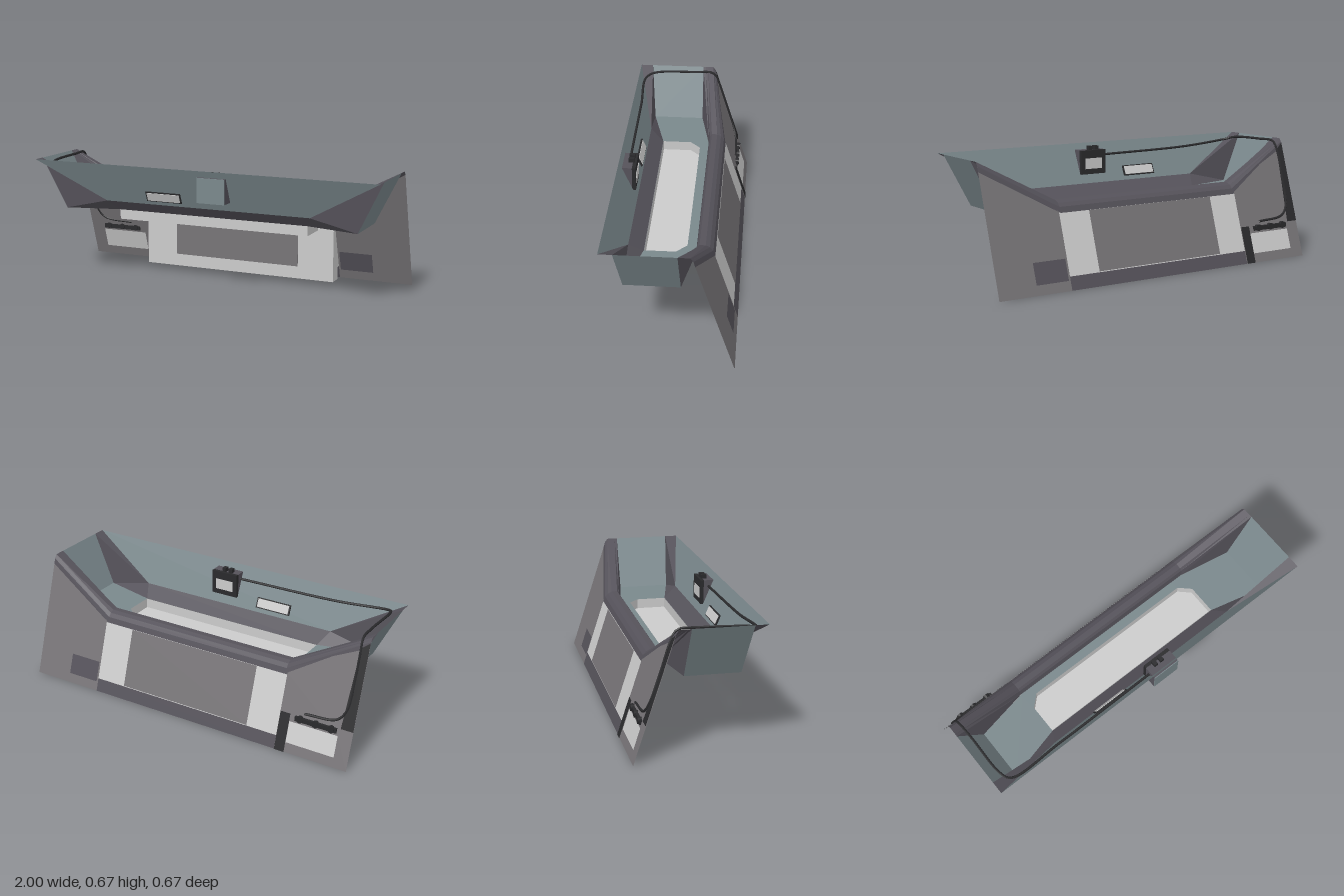
import * as THREE from 'three';
import { mergeVertices } from 'three/addons/utils/BufferGeometryUtils.js';

const paint = (color) => new THREE.MeshStandardMaterial({ color, side: THREE.DoubleSide, flatShading: true });
const light = paint(0xcccccc), slate = paint(0x7a888c), grey = paint(0x777477);
const dark = paint(0x55525a), black = paint(0x2a2a2c);

// Depth of the sloping rear face at height y
const rearZ = (y) => -0.118 - 0.324 * (0.67 - y);
const wallTilt = Math.atan2(0.095, 0.22);

export function createModel() {
  const model = new THREE.Group();

  const add = (name, geometry, material, x = 0, y = 0, z = 0) => {
    const mesh = new THREE.Mesh(geometry, material);
    mesh.name = name;
    mesh.position.set(x, y, z);
    model.add(mesh);
    return mesh;
  };

  // Skin stretched over rows of equally many points
  const loft = (name, rows, material) => {
    const pos = [];
    for (let r = 0; r < rows.length - 1; r++) {
      for (let i = 0; i < rows[r].length - 1; i++) {
        const a = rows[r][i], b = rows[r][i + 1], c = rows[r + 1][i + 1], d = rows[r + 1][i];
        pos.push(...a, ...d, ...b, ...b, ...d, ...c);
      }
    }
    const g = new THREE.BufferGeometry();
    g.setAttribute('position', new THREE.Float32BufferAttribute(pos, 3));
    g.computeVertexNormals();
    return add(name, g, material);
  };

  // Flat outline laid on the sloping rear face
  const onRear = (name, outline, material, offset = 0, hole = null) => {
    const toV = (p) => new THREE.Vector2(p[0], p[1]);
    const shape = new THREE.Shape(outline.map(toV));
    if (hole) shape.holes.push(new THREE.Path(hole.map(toV)));
    const g = mergeVertices(new THREE.ShapeGeometry(shape));
    const p = g.attributes.position;
    for (let i = 0; i < p.count; i++) p.setZ(i, rearZ(p.getY(i)) + offset);
    g.computeVertexNormals();
    return add(name, g, material);
  };
  const rect = (x0, x1, y0, y1) => [[x0, y0], [x1, y0], [x1, y1], [x0, y1]];

  // Front wall and the band under it
  loft('frontWall', [
    [[-1, 0.67, 0.33], [1, 0.67, 0.33]],
    [[-0.6, 0.45, 0.235], [0.6, 0.45, 0.235]],
  ], slate);
  loft('frontLowerBand', [
    [[-0.6, 0.45, 0.235], [0.6, 0.45, 0.235]],
    [[-0.56, 0.39, 0.16], [0.56, 0.39, 0.16]],
  ], dark);

  // Sides of the tub
  for (const s of [1, -1]) {
    loft('sideWall', [
      [[s, 0.67, 0.26], [s, 0.67, -0.05]],
      [[s * 0.86, 0.39, 0.235], [s * 0.86, 0.39, -0.055]],
    ], slate);
    loft('frontCorner', [
      [[s, 0.67, 0.33], [s, 0.67, 0.26]],
      [[s * 0.6, 0.45, 0.235], [s * 0.86, 0.39, 0.235]],
      [[s * 0.56, 0.39, 0.16], [s * 0.86, 0.39, 0.235]],
    ], dark);
    loft('sideFloor', [
      [[s * 0.56, 0.39, 0.16], [s * 0.86, 0.39, 0.235]],
      [[s * 0.56, 0.39, -0.11], [s * 0.86, 0.39, -0.055]],
    ], slate);
    loft('rearCorner', [
      [[s * 0.57, 0.39, -0.11], [s * 0.86, 0.39, -0.055]],
      [[s, 0.67, -0.05], [s, 0.67, -0.05]],
    ], dark);
  }

  // Rounded sill along the rear, rising to both ends
  const middle = [[0.39, -0.11], [0.43, -0.117], [0.445, -0.128], [0.445, -0.16], [0.434, -0.182], [0.415, -0.2], [0.385, rearZ(0.385)]];
  const end = [[0.67, -0.05], [0.67, -0.065], [0.67, -0.08], [0.67, -0.11], [0.66, -0.118], [0.65, -0.126], [0.62, rearZ(0.62)]];
  const station = (x, pts) => pts.map(([y, z]) => [x, y, z]);
  loft('rearSill', [station(-1, end), station(-0.57, middle), station(0.57, middle), station(1, end)], dark);

  // Sunken tray with two cut corners
  const ring = (y) => [[-0.56, 0.157], [0.56, 0.157], [0.56, -0.005], [0.5, -0.062], [-0.5, -0.062], [-0.56, -0.005], [-0.56, 0.157]]
    .map(([x, z]) => [x, y, z]);
  loft('tray', [ring(0.39), ring(0.335), ring(0.335).map(() => [0, 0.335, 0.05])], light);
  loft('floorBehindTray', [
    [[-0.56, 0.39, -0.005], [-0.5, 0.39, -0.062], [0.5, 0.39, -0.062], [0.56, 0.39, -0.005]],
    [[-0.57, 0.39, -0.11], [-0.5, 0.39, -0.11], [0.5, 0.39, -0.11], [0.57, 0.39, -0.11]],
  ], slate);

  // Wedge-shaped base; the profile is drawn in (-z, y) and turned to run along x
  const profile = [[0.21, 0], [0.29, 0], [0.29, 0.07], [-rearZ(0.07), 0.07], [-rearZ(0.385), 0.385], [0.21, 0.34]];
  const base = new THREE.ExtrudeGeometry(new THREE.Shape(profile.map((p) => new THREE.Vector2(...p))), { depth: 1.16, bevelEnabled: false });
  base.rotateY(Math.PI / 2).translate(-0.58, 0, 0);
  add('base', base, light);
  add('baseFrontPanel', new THREE.BoxGeometry(0.76, 0.27, 0.004), grey, -0.01, 0.205, -0.21);
  onRear('baseRearPanel', rect(-0.4, 0.4, 0.075, 0.385), grey, -0.003);
  onRear('rearFootPanel', rect(-0.58, 0.58, 0, 0.07), dark);

  // Rear wings in the sloping face, each with an inset panel
  const wing = (s, x0, x1, panelMaterial) => {
    const inset = rect(s * x0, s * x1, 0.05, 0.16);
    onRear('rearWing', [[s * 0.58, 0], [s, 0], [s, 0.65], [s * 0.58, 0.395]], grey, 0, inset);
    onRear('wingPanel', inset, panelMaterial);
  };
  wing(1, 0.59, 0.78, dark);
  wing(-1, 0.64, 0.92, light);
  onRear('wingInnerTrim', rect(-0.64, -0.582, 0, 0.2), black, -0.003);
  onRear('wingOuterTrim', [[-1, 0.2], [-0.93, 0.2], [-0.955, 0.61], [-1, 0.645]], black, -0.003);

  // Cable from the rear controls, over the rim and along the front wall
  const path = [[-0.72, 0.22, -0.268], [-0.9, 0.24, -0.26], [-0.945, 0.3, -0.241], [-0.955, 0.45, -0.192], [-0.955, 0.6, -0.144],
    [-0.95, 0.655, -0.112], [-0.945, 0.66, 0], [-0.94, 0.65, 0.24], [-0.91, 0.635, 0.29], [-0.6, 0.61, 0.292], [0, 0.6, 0.288]];
  const curve = new THREE.CatmullRomCurve3(path.map((p) => new THREE.Vector3(...p)), false, 'centripetal');
  add('cable', new THREE.TubeGeometry(curve, 90, 0.007, 6), black);

  // Hand controls over the wing panel
  add('controlBar', new THREE.BoxGeometry(0.24, 0.025, 0.02), black, -0.79, 0.185, -0.276);
  for (const x of [-0.88, -0.79, -0.7]) {
    add('controlKnob', new THREE.CylinderGeometry(0.016, 0.02, 0.03, 10).rotateX(Math.PI / 2), black, x, 0.188, -0.276);
  }

  // Display unit through the front wall
  add('displayHousing', new THREE.BoxGeometry(0.16, 0.135, 0.071), dark, 0.08, 0.5675, 0.2955);
  add('displayFrontPlate', new THREE.BoxGeometry(0.16, 0.135, 0.004), slate, 0.08, 0.5675, 0.333);
  add('displayFrame', new THREE.BoxGeometry(0.16, 0.135, 0.02), black, 0.08, 0.5675, 0.252);
  add('displayScreen', new THREE.BoxGeometry(0.11, 0.06, 0.004), light, 0.08, 0.56, 0.241);
  for (const x of [0.05, 0.09]) add('displayClip', new THREE.BoxGeometry(0.022, 0.025, 0.03), black, x, 0.645, 0.27);

  // Small plate set in the front wall, tilted with it
  add('wallPlateFrame', new THREE.BoxGeometry(0.21, 0.06, 0.014), black, -0.235, 0.5, 0.255).rotation.x = wallTilt;
  add('wallPlate', new THREE.BoxGeometry(0.195, 0.048, 0.02), light, -0.235, 0.5, 0.255).rotation.x = wallTilt;

  return model;
}
